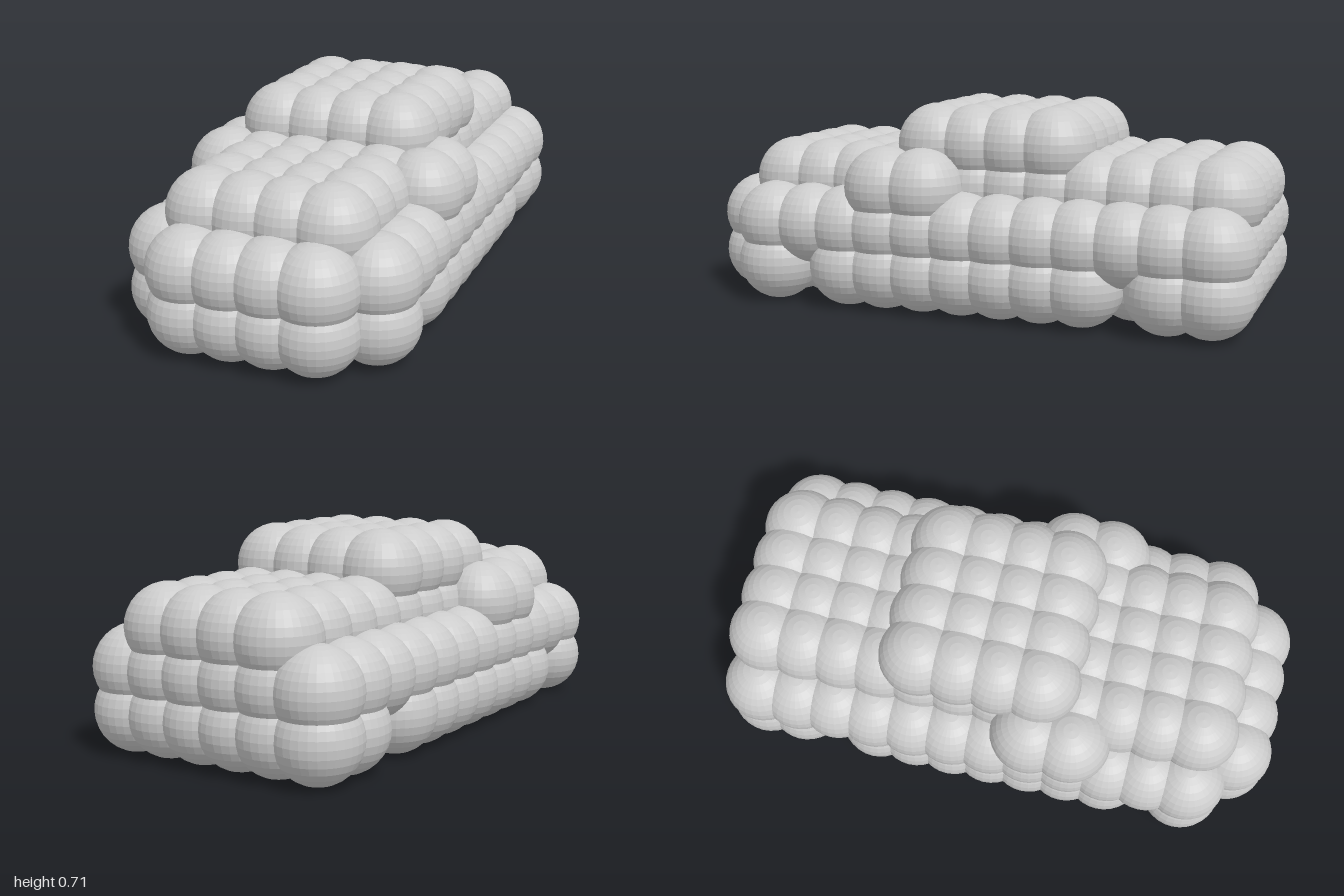
import * as THREE from 'three';
import { mergeGeometries } from 'three/addons/utils/BufferGeometryUtils.js';

const R = 1 / 7;          // ball radius, also the grid spacing
const LIFT = 0.004;       // small ground clearance
const SEG = 32, RINGS = 16, HIDDEN = 5;
const INNER = [-1.5, -0.5, 0.5, 1.5];
const OUTER = [-2.5, 2.5];

// Each part is a block of balls: columns across x, one layer, rows along z (front is +6)
const PARTS = [
  { name: 'underbody', layer: 0, columns: INNER, from: -6, to: 6 },
  { name: 'rearWheels', layer: 0, columns: OUTER, from: -6, to: -5 },
  { name: 'sideSills', layer: 0, columns: OUTER, from: -3, to: 3 },
  { name: 'frontWheels', layer: 0, columns: OUTER, from: 5, to: 5 },
  { name: 'mainBody', layer: 1, columns: INNER, from: -6, to: 6 },
  { name: 'bodySides', layer: 1, columns: OUTER, from: -6, to: 5 },
  { name: 'upperBody', layer: 2, columns: INNER, from: -6, to: 5 },
  { name: 'sideMirrors', layer: 2, columns: OUTER, from: 1, to: 2 },
  { name: 'roof', layer: 3, columns: INNER, from: -2, to: 1 },
];

const key = (x, y, z) => `${x},${y},${z}`;

function cellsOf({ layer, columns, from, to }) {
  const cells = [];
  for (const x of columns) {
    for (let z = from; z <= to; z++) cells.push([x, layer, z]);
  }
  return cells;
}

// Ball without the caps that lie inside the ball above or below it
function ball(coveredAbove, coveredBelow) {
  const top = coveredAbove ? HIDDEN : 0;
  const rings = RINGS - top - (coveredBelow ? HIDDEN : 0);
  const step = Math.PI / RINGS;
  return new THREE.SphereGeometry(R, SEG, rings, 0, Math.PI * 2, top * step, rings * step);
}

export function createModel() {
  const model = new THREE.Group();
  model.name = 'ballCar';
  const material = new THREE.MeshStandardMaterial({ color: 0xcccccc, flatShading: true });

  const filled = new Set(PARTS.flatMap(cellsOf).map((c) => key(...c)));
  const has = (x, y, z) => filled.has(key(x, y, z));

  for (const part of PARTS) {
    const balls = [];
    for (const [x, y, z] of cellsOf(part)) {
      const above = has(x, y + 1, z), below = has(x, y - 1, z);
      // Skip balls fully enclosed by their six neighbours
      const ringed = has(x - 1, y, z) && has(x + 1, y, z) && has(x, y, z - 1) && has(x, y, z + 1);
      if (above && below && ringed) continue;
      balls.push(ball(above, below).translate(x * R, (y + 1) * R + LIFT, z * R));
    }
    const mesh = new THREE.Mesh(mergeGeometries(balls), material);
    mesh.name = part.name;
    model.add(mesh);
  }
  return model;
}
